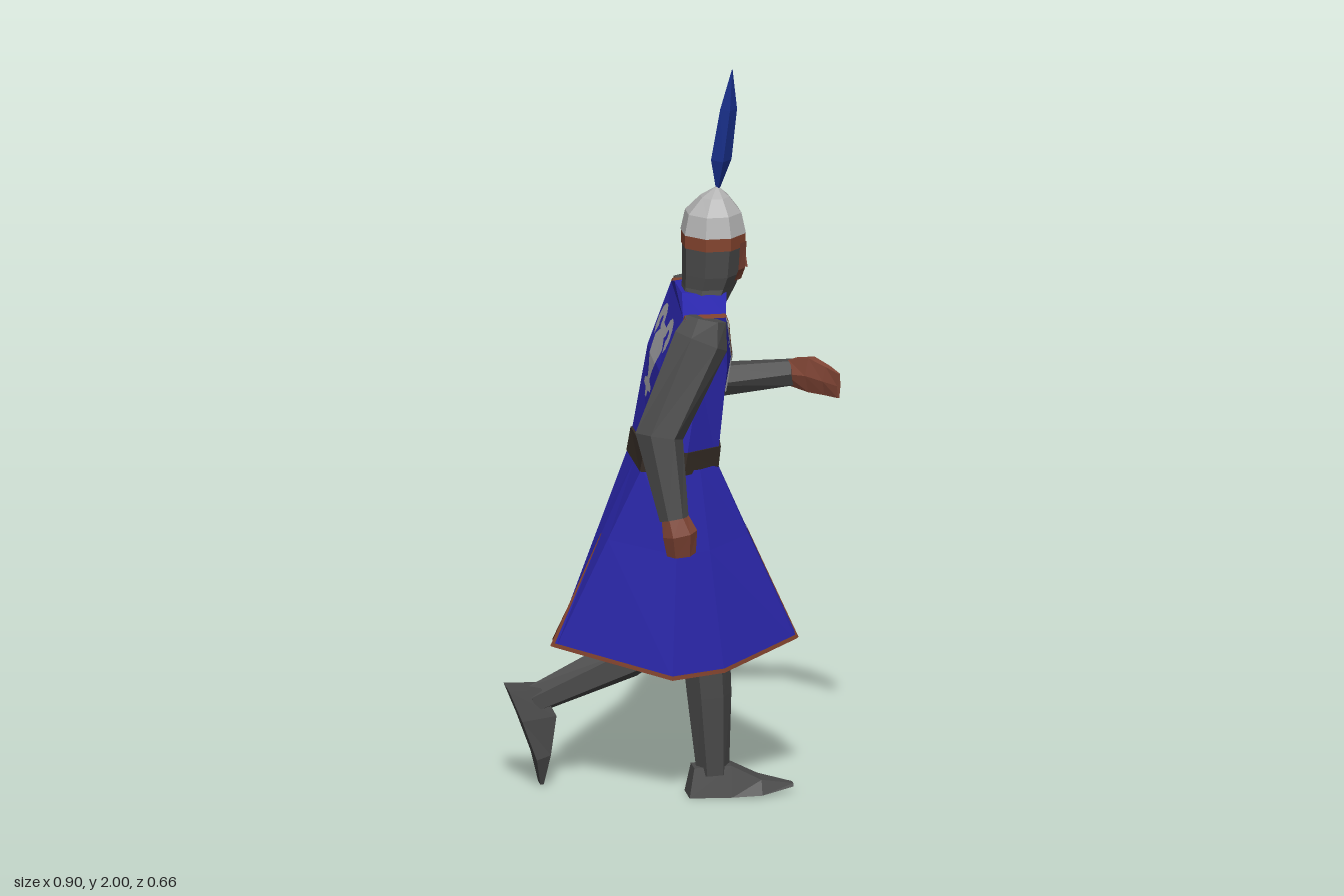
import * as THREE from 'three';

const V = (x, y, z) => new THREE.Vector3(x, y, z);
const lerp = THREE.MathUtils.lerp;

function material(name, color, doubleSided) {
  const m = new THREE.MeshStandardMaterial({ color });
  m.name = name;
  if (doubleSided) m.side = THREE.DoubleSide;
  return m;
}

// Faceted sheet through rows of points; faces are turned away from the centre
function loft(rows, closed = true) {
  const tris = [], n = rows[0].length;
  for (let i = 0; i < rows.length - 1; i++) {
    for (let j = 0; j < (closed ? n : n - 1); j++) {
      const k = (j + 1) % n, a = rows[i][j], b = rows[i][k], c = rows[i + 1][k], d = rows[i + 1][j];
      tris.push([a, b, c], [a, c, d]);
    }
  }
  if (closed) {
    const last = rows[rows.length - 1];
    for (let j = 1; j < n - 1; j++) {
      tris.push([rows[0][0], rows[0][j + 1], rows[0][j]], [last[0], last[j], last[j + 1]]);
    }
  }
  const mid = V(0, 0, 0);
  rows.flat().forEach(p => mid.addScaledVector(p, 1 / (rows.length * n)));
  let volume = 0;
  for (const [a, b, c] of tris) {
    volume += a.clone().sub(mid).dot(b.clone().sub(mid).cross(c.clone().sub(mid)));
  }
  if (volume < 0) tris.forEach(t => t.reverse());
  const g = new THREE.BufferGeometry().setFromPoints(tris.flat());
  g.computeVertexNormals();
  return g;
}

// Limb from sections [x, y, z, radius along ref, radius across]
function limb(sections, ref, sides = 6) {
  const pts = sections.map(s => V(s[0], s[1], s[2]));
  return loft(sections.map((s, i) => {
    const t = pts[Math.min(i + 1, pts.length - 1)].clone().sub(pts[Math.max(i - 1, 0)]).normalize();
    const u = V(...ref).addScaledVector(t, -V(...ref).dot(t)).normalize();
    const v = t.clone().cross(u);
    return Array.from({ length: sides }, (_, k) => {
      const a = ((k + 0.5) / sides) * Math.PI * 2;
      return pts[i].clone().addScaledVector(u, Math.cos(a) * s[3] * 1.1).addScaledVector(v, Math.sin(a) * s[4] * 1.1);
    });
  }));
}

// Horizontal elliptical ring
const oval = (x, y, z, rx, rz, n = 8) => Array.from({ length: n }, (_, k) => {
  const a = ((k + 0.5) / n) * Math.PI * 2;
  return V(x + Math.cos(a) * rx * 1.05, y, z + Math.sin(a) * rz * 1.05);
});

// Torso levels: y, back x, front x, flat half width, side half width, front ridge depth
const LEVELS = [
  [0.92, -0.112, 0.10, 0.11, 0.166, 0.008],
  [1.20, -0.062, 0.15, 0.14, 0.172, 0.028],
  [1.36, 0.002, 0.127, 0.184, 0.187, 0.008],
];
const twist = (y, z) => -0.08 * z * THREE.MathUtils.clamp((y - 0.92) / 0.44, 0, 1);

function level(y) {
  const i = y < 1.2 ? 0 : 1, a = LEVELS[i], b = LEVELS[i + 1];
  return a.map((v, k) => lerp(v, b[k], (y - a[0]) / (b[0] - a[0])));
}

function torsoRing(y, grow = 0) {
  const [, back, front, flat, side, ridge] = level(y), mid = (back + front) / 2, f = front - ridge;
  return [[front + grow, 0], [f + grow, flat], [mid, side + grow], [back - grow, flat],
    [back - grow, -flat], [mid, -side - grow], [f + grow, -flat]]
    .map(([x, z]) => V(x + twist(y, z), y, z));
}

export function createModel() {
  const blue = material('blue cloth', 0x2b27ac, true);
  const mail = material('dark mail', 0x4a4a4a);
  const skin = material('skin', 0x804535);
  const trim = material('brown trim', 0x84442e, true);
  const steel = material('helmet steel', 0xb2b2b2);
  const plumeBlue = material('plume blue', 0x182f8a);
  const leather = material('belt leather', 0x352c25);
  const silver = material('silver paint', 0xa0a0a4, true);
  const lining = material('dark lining', 0x2c0d08, true);

  const model = new THREE.Group();
  model.name = 'runningKnight';
  const add = (name, geometry, mat) => {
    const m = new THREE.Mesh(geometry, mat);
    m.name = name;
    model.add(m);
  };

  // Tunic body, square shoulders sloping up to the collar
  const collar = [[0.13, 0], [0.125, 0.07], [0.07, 0.085], [0.005, 0.06], [0.005, -0.06], [0.07, -0.085], [0.125, -0.07]]
    .map(([x, z]) => V(x, 1.395, z));
  add('tunicBody', loft([torsoRing(0.92), torsoRing(1.2), torsoRing(1.36), collar]), blue);
  add('belt', loft([torsoRing(0.915, 0.005), torsoRing(0.978, 0.005)]), leather);

  // Painted winged ornament on chest and back, as strips of [y, z] pairs
  const wing = Array.from({ length: 9 }, (_, i) => {
    const a = THREE.MathUtils.degToRad(205 - i * 34), c = Math.cos(a), s = Math.sin(a);
    return [[1.282 + 0.015 * s, 0.064 + 0.013 * c], [1.282 + 0.046 * s, 0.066 + 0.044 * c]];
  });
  const body = [[1.29, 0.022], [1.27, 0.035], [1.245, 0.07], [1.2, 0.052], [1.175, 0.03], [1.15, 0.016],
    [1.142, 0.02], [1.134, 0.05], [1.12, 0.05], [1.115, 0.016], [1.095, 0.01]].map(([y, w]) => [[y, 0], [y, w]]);
  for (const front of [true, false]) {
    for (const side of [1, -1]) {
      for (const rows of [wing, body]) {
        const pts = rows.map(pair => pair.map(([y, w]) => {
          const z = w * side * (front ? 1 : 1.18), [, back, chest, flat, , ridge] = level(y);
          const x = front ? chest - ridge * Math.abs(z) / flat + 0.004 : back - 0.004;
          return V(x + twist(y, z), y, z);
        }));
        add(front ? 'chestOrnament' : 'backOrnament', loft(pts, false), silver);
      }
    }
  }

  // Skirt: two panels from back to front, parted by slits
  const waist = [[-0.112, 0], [-0.112, 0.11], [-0.02, 0.166], [0.04, 0.15], [0.094, 0.11], [0.1, 0]];
  const hems = {
    right: [[-0.34, 0.41, 0], [-0.33, 0.409, 0.014], [-0.05, 0.365, 0.235], [0.1, 0.365, 0.18], [0.312, 0.418, 0.066], [0.32, 0.42, 0.055]],
    left: [[-0.325, 0.41, -0.06], [-0.315, 0.409, -0.072], [-0.04, 0.365, -0.24], [0.13, 0.365, -0.14], [0.312, 0.418, -0.031], [0.32, 0.42, -0.02]],
  };
  const slit = {};
  for (const [name, points] of Object.entries(hems)) {
    const s = name === 'right' ? 1 : -1;
    const top = waist.map(([x, z]) => V(x, 0.925, z * s));
    const hem = points.map(p => V(...p));
    const mid = top.map((p, i) => p.clone().lerp(hem[i], 0.4));
    mid[0].z = mid[5].z = 0;
    add(name + 'Skirt', loft([top, mid, hem], false), blue);
    // Hem trim just outside the cloth
    const out = p => V(p.x * 1.012, p.y - 0.002, p.z * 1.015);
    add(name + 'Hem', loft([hem.map((p, i) => out(p.clone().lerp(mid[i], 0.035))), hem.map(out)], false), trim);
    // Slit edging
    for (const [e, n] of [[0, 1], [5, 4]]) {
      const edge = [mid[e], hem[e]].map(out);
      const inner = [mid[e].clone().lerp(mid[n], 0.08), hem[e].clone().lerp(hem[n], 0.7)].map(out);
      add(name + 'SlitTrim', loft([edge, inner], false), trim);
    }
    slit[name] = { mid, hem };
  }
  // Dark cloth set back behind each slit
  for (const e of [0, 5]) {
    const inward = p => V(p.x * 0.93, p.y - 0.01, p.z);
    const apex = slit.right.mid[e];
    add('slitLining', loft([
      [inward(apex).add(V(0, 0, 0.008)), inward(apex).add(V(0, 0, -0.008))],
      [inward(slit.right.hem[e]), inward(slit.left.hem[e])],
    ], false), lining);
  }

  // Arms
  add('rightArm', limb([
    [0.048, 1.362, 0.206, 0.025, 0.05], [0.033, 1.30, 0.207, 0.042, 0.07],
    [-0.088, 1.05, 0.245, 0.05, 0.06], [-0.055, 0.83, 0.293, 0.03, 0.036],
  ], [0, 0, 1]), mail);
  add('leftArm', limb([
    [0.08, 1.362, -0.198, 0.03, 0.052], [0.085, 1.30, -0.207, 0.042, 0.066],
    [0.113, 1.05, -0.272, 0.055, 0.07], [0.35, 1.10, -0.15, 0.036, 0.034],
  ], [-0.43, -0.4, 0.73]), mail);
  // Sleeve trim folded over each shoulder edge
  for (const [s, z0, z1] of [[1, 0.183, 0.213], [-1, 0.162, 0.2]]) {
    const fold = [[-0.01, 1.30], [0, 1.345], [0.006, 1.364], [0.118, 1.364], [0.126, 1.345], [0.134, 1.25]];
    add('sleeveTrim', loft([[z0, 0.003], [z1, 0]].map(([z, dy]) =>
      fold.map(([x, y]) => V(x - 0.08 * z * s, y + dy, z * s))), false), trim);
  }

  // Hands: curled fist and flat open hand
  add('rightHand', limb([
    [-0.055, 0.84, 0.29, 0.026, 0.032], [-0.04, 0.79, 0.30, 0.03, 0.043], [-0.035, 0.73, 0.29, 0.022, 0.036],
  ], [0, 0, 1]), skin);
  add('rightThumb', limb([[-0.02, 0.81, 0.285, 0.014, 0.014], [0, 0.765, 0.262, 0.011, 0.011]], [0, 0, 1], 4), skin);
  add('leftHand', limb([
    [0.345, 1.10, -0.153, 0.038, 0.03], [0.385, 1.105, -0.10, 0.05, 0.022],
    [0.42, 1.10, -0.05, 0.042, 0.015], [0.443, 1.098, 0, 0.036, 0.005],
  ], [0, 1, 0]), skin);

  // Legs: right planted, left trailing
  add('rightLeg', limb([
    [0, 0.78, 0.08, 0.07, 0.08], [0.065, 0.42, 0.088, 0.055, 0.06],
    [0.075, 0.28, 0.088, 0.052, 0.055], [0.085, 0.06, 0.088, 0.042, 0.04],
  ], [0, 0, 1]), mail);
  add('rightFoot', loft([
    [[0.015, 0], [0.03, 0.08], 0.042], [[0.13, 0], [0.13, 0.085], 0.047],
    [[0.21, 0.005], [0.21, 0.045], 0.052], [[0.30, 0.018], [0.30, 0.026], 0.015],
  ].map(([b, t, w], i) => {
    const z = 0.085 + i * 0.006;
    return [V(...b, z - w), V(...b, z + w), V(...t, z + w * 0.7), V(...t, z - w * 0.7)];
  })), mail);
  add('leftLeg', limb([
    [0, 0.78, -0.08, 0.07, 0.08], [0.02, 0.43, -0.082, 0.055, 0.065],
    [-0.12, 0.345, -0.082, 0.055, 0.055], [-0.38, 0.235, -0.082, 0.045, 0.036],
  ], [0, 0, 1]), mail);
  add('leftFoot', loft([
    [[-0.45, 0.275], [-0.36, 0.275], 0.045], [[-0.415, 0.19], [-0.32, 0.20], 0.052],
    [[-0.375, 0.08], [-0.335, 0.09], 0.05], [[-0.36, 0.003], [-0.35, 0.003], 0.018],
  ].map(([a, b, w]) => [V(...a, -0.082 - w), V(...a, -0.082 + w), V(...b, -0.082 + w * 0.8), V(...b, -0.082 - w * 0.8)])), mail);

  // Head: coif, face, brow band, helmet and plume
  const hx = 0.098, hz = 0.015;
  add('coif', loft([
    oval(0.07, 1.36, hz, 0.06, 0.08), oval(0.085, 1.405, hz, 0.07, 0.073),
    oval(hx - 0.005, 1.44, hz, 0.077, 0.08), oval(hx, 1.54, hz, 0.082, 0.085),
  ]), mail);
  add('face', loft([[1.422, 0.17, 0.024, 0.045], [1.455, 0.179, 0.035, 0.058], [1.53, 0.183, 0.036, 0.062]].map(([y, x, w, o]) =>
    [V(x - 0.022, y, hz + o), V(x, y, hz + w), V(x, y, hz - w), V(x - 0.022, y, hz - o)]), false), skin);
  add('nose', loft([
    [V(0.19, 1.45, hz - 0.012), V(0.19, 1.45, hz + 0.012), V(0.17, 1.45, hz)],
    [V(0.184, 1.50, hz - 0.005), V(0.184, 1.50, hz + 0.005), V(0.17, 1.50, hz)],
  ]), skin);
  add('browBand', loft([oval(hx, 1.516, hz, 0.085, 0.087), oval(hx, 1.554, hz, 0.085, 0.087)]), trim);
  add('helmet', loft([
    oval(hx, 1.552, hz, 0.086, 0.089), oval(hx, 1.608, hz, 0.074, 0.076),
    oval(hx + 0.004, 1.65, hz, 0.038, 0.04), oval(hx + 0.01, 1.675, hz, 0.004, 0.004),
  ]), steel);
  add('plume', loft([[0.11, 1.665, 0.004, 0.004], [0.12, 1.75, 0.028, 0.03], [0.14, 1.89, 0.023, 0.022], [0.15, 2, 0.001, 0.001]]
    .map(([x, y, rx, rz]) => [V(x + rx, y, hz), V(x, y, hz + rz), V(x - rx, y, hz), V(x, y, hz - rz)])), plumeBlue);

  return model;
}
